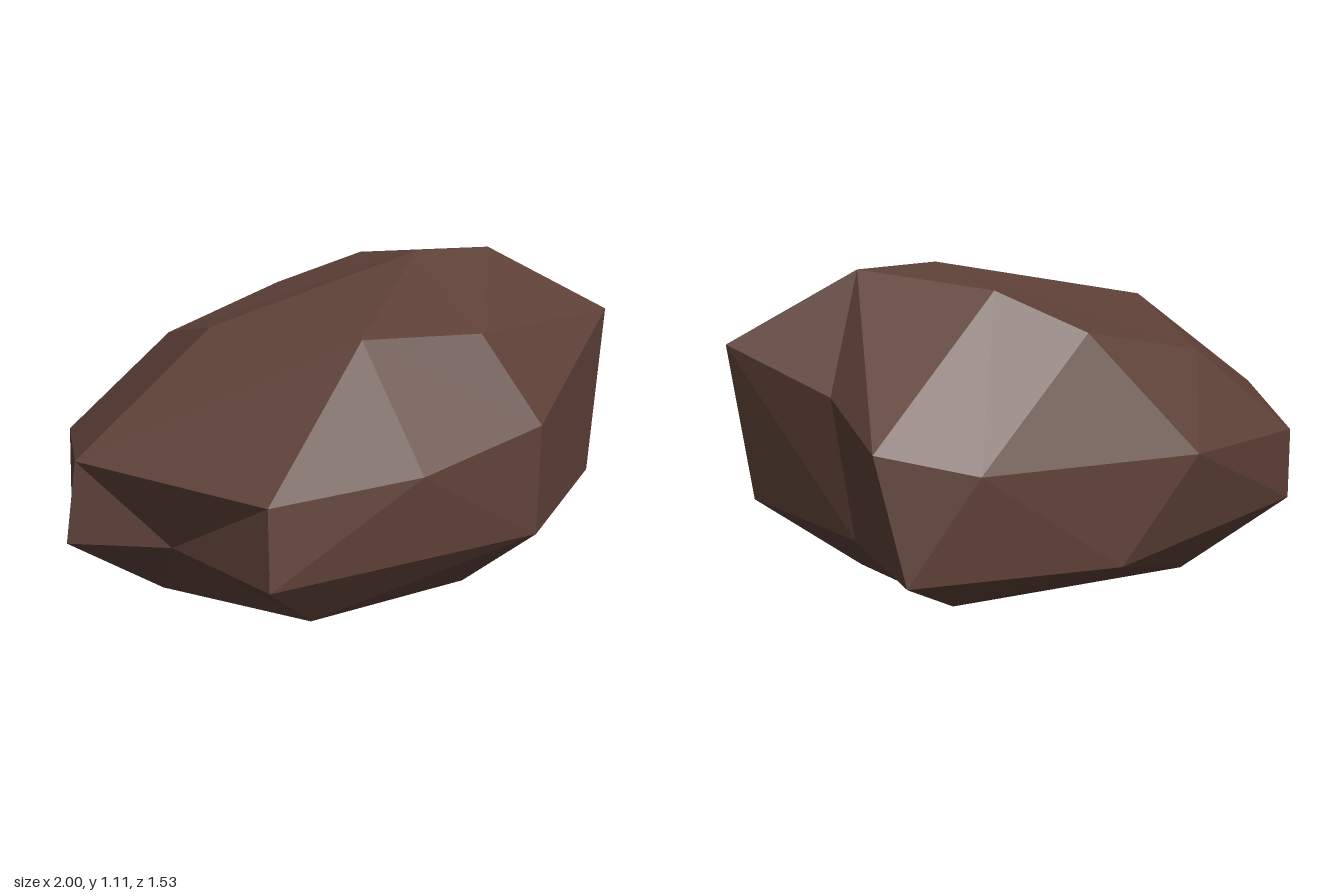
import * as THREE from 'three';

// Cross-section rings of the boulder, each running front, right, back, left
const base = [
  [-0.51, 0, 0.46], [0.17, 0, 0.52], [0.55, 0, 0.30],
  [0.61, 0, -0.25], [-0.24, 0, -0.53], [-0.65, 0, -0.15],
];
const belt = [
  [-0.77, 0.18, 0.545], [0.28, 0.205, 0.765], [0.865, 0.27, 0.50],
  [0.785, 0.205, 0.05], [0.93, 0.175, -0.38], [0.23, 0.155, -0.68],
  [-0.64, 0.21, -0.69], [-1.0, 0.22, -0.235], [-0.77, 0.22, 0.05],
];
const waist = [
  [-0.745, 0.455, 0.51], [-0.19, 0.485, 0.675], [0.32, 0.585, 0.745],
  [0.995, 0.86, 0.46], [0.87, 0.725, 0.06], [0.985, 0.62, -0.285],
  [0.70, 0.53, -0.49], [-0.055, 0.51, -0.765], [-0.63, 0.47, -0.70],
  [-0.96, 0.505, -0.23],
];
const shoulder = [
  [-0.235, 0.92, 0.42], [0.20, 0.90, 0.565], [0.625, 1.105, 0.20],
  [0.385, 1.06, -0.225], [0.21, 0.93, -0.495], [-0.28, 0.80, -0.55],
  [-0.44, 0.91, -0.125],
];
const crown = [0.36, 1.11, 0.095];

// Joins two rings with triangles; each step moves along the lower (l) or upper (u) ring
function stitch(lower, upper, steps) {
  const points = [];
  let i = 0, j = 0;
  for (const step of steps) {
    const a = lower[i % lower.length], b = upper[j % upper.length];
    if (step === 'l') points.push(a, lower[++i % lower.length], b);
    else points.push(a, upper[++j % upper.length], b);
  }
  return points;
}

// Closes a ring with a fan of triangles to one point
function fan(ring, tip) {
  return ring.flatMap((p, i) => [p, ring[(i + 1) % ring.length], tip]);
}

export function createModel() {
  const stone = new THREE.MeshStandardMaterial({ color: 0x5d4037 });
  stone.name = 'brownStone';
  stone.flatShading = true;

  const triangles = [
    ...fan([...base].reverse(), [0, 0, 0]),
    ...stitch(base, belt, 'ulululuululuulu'),
    ...stitch(belt, waist, 'ululululuululuullul'),
    ...stitch(waist, shoulder, 'llulullulululul' + 'ul'),
    ...fan(shoulder, crown),
  ];
  const geometry = new THREE.BufferGeometry();
  geometry.setAttribute('position', new THREE.Float32BufferAttribute(triangles.flat(), 3));
  geometry.computeVertexNormals();

  const boulder = new THREE.Mesh(geometry, stone);
  boulder.name = 'boulder';
  const model = new THREE.Group();
  model.name = 'rock';
  model.add(boulder);
  return model;
}
